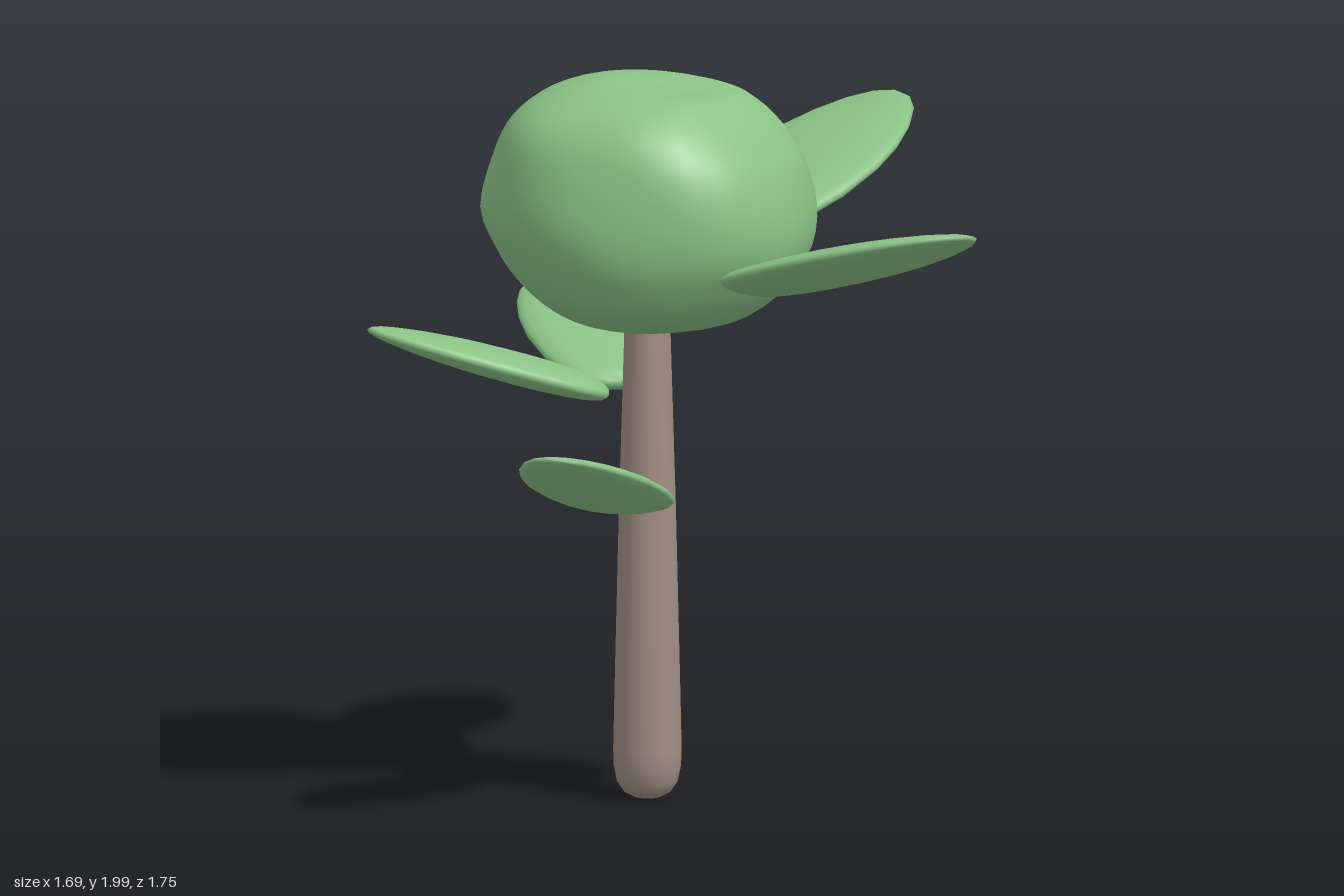
import * as THREE from 'three';
import { mergeVertices } from 'three/addons/utils/BufferGeometryUtils.js';

const foliage = new THREE.MeshStandardMaterial({ color: 0x8ac285 });
foliage.name = 'leaf green';
const bark = new THREE.MeshStandardMaterial({ color: 0xa08d83 });
bark.name = 'bark brown';

function addMesh(group, name, geometry, material) {
  const mesh = new THREE.Mesh(geometry, material);
  mesh.name = name;
  group.add(mesh);
  return mesh;
}

// Drop duplicate seam vertices so the surface shades smoothly all round
function smooth(geometry) {
  geometry.deleteAttribute('uv');
  geometry.deleteAttribute('normal');
  const merged = mergeVertices(geometry, 1e-5);
  merged.computeVertexNormals();
  return merged;
}

// Tapered trunk with a rounded foot
function trunkGeometry() {
  const profile = [
    [0, 0.002], [0.035, 0.007], [0.064, 0.022], [0.083, 0.05], [0.092, 0.095],
    [0.0935, 0.14], [0.09, 0.3], [0.078, 0.8], [0.063, 1.3], [0.057, 1.36], [0.035, 1.39], [0, 1.4],
  ].map(([r, y]) => new THREE.Vector2(r, y));
  return new THREE.LatheGeometry(profile, 24);
}

// Lumpy crown: each level gives height, x extent and z extent
function crownGeometry() {
  const levels = [
    [2.0, -0.25, -0.25, 0.06, 0.06],
    [1.995, -0.36, -0.14, -0.03, 0.16],
    [1.97, -0.47, 0.0, -0.13, 0.31],
    [1.925, -0.55, 0.06, -0.225, 0.42],
    [1.86, -0.61, 0.125, -0.28, 0.485],
    [1.765, -0.65, 0.19, -0.315, 0.52],
    [1.635, -0.68, 0.225, -0.347, 0.54],
    [1.53, -0.63, 0.22, -0.33, 0.528],
    [1.45, -0.565, 0.175, -0.285, 0.495],
    [1.39, -0.495, 0.125, -0.235, 0.45],
    [1.335, -0.42, 0.035, -0.13, 0.34],
    [1.3, -0.35, -0.12, -0.03, 0.19],
    [1.288, -0.25, -0.25, 0.08, 0.08],
  ];
  const curve = (a, b) => new THREE.CatmullRomCurve3(
    levels.map((l) => new THREE.Vector3(l[a], l[0], l[b])), false, 'catmullrom', 0.5);
  const xCurve = curve(1, 2);
  const zCurve = curve(3, 4);
  const around = 40, rows = 36;
  const geometry = new THREE.SphereGeometry(1, around, rows);
  const pos = geometry.attributes.position;
  for (let j = 0; j <= rows; j++) {
    const px = xCurve.getPoint(j / rows);
    const pz = zCurve.getPoint(j / rows);
    for (let i = 0; i <= around; i++) {
      const a = ((i % around) / around) * Math.PI * 2;
      const c = -Math.cos(a), s = Math.sin(a);
      // Fuller corners on +x; the front +x corner leans out at the top and in below
      const diagonal = Math.sin(2 * a) ** 2;
      const lean = Math.max(0, c + s) * 0.09 * (px.y - 1.7);
      const k = 1 + diagonal * (0.025 + 0.035 * c + lean) + 0.01 * Math.sin(5 * a + 8 * px.y);
      const x = (px.x + px.z) / 2 + c * k * (px.z - px.x) / 2;
      const z = (pz.x + pz.z) / 2 + s * k * (pz.z - pz.x) / 2;
      // Shallow dimple in the top
      const d2 = (x + 0.12) ** 2 + (z - 0.08) ** 2;
      const dimple = px.y > 1.8 ? 0.03 * Math.exp(-d2 / 0.015) : 0;
      pos.setXYZ(j * (around + 1) + i, x, px.y - dimple, z);
    }
  }
  return smooth(geometry);
}

// Lens-shaped leaf along +x, blunt and broad at the base, narrower at the tip
function leafGeometry(length, width, thickness) {
  const geometry = new THREE.SphereGeometry(1, 20, 14);
  const pos = geometry.attributes.position;
  for (let i = 0; i < pos.count; i++) {
    const u = pos.getX(i);
    const blunt = u < 0 ? u * (1 + 0.4 * (1 - u * u)) : u;
    const taper = 1 - 0.18 * u;
    pos.setXYZ(i, blunt * length, pos.getY(i) * thickness * taper, pos.getZ(i) * width * taper);
  }
  return smooth(geometry);
}

// Place a leaf by its centre, half-length direction, half width and sideways roll
function addLeaf(group, { name, centre, half, width, roll, thickness }) {
  const along = new THREE.Vector3(...half);
  const leaf = addMesh(group, name, leafGeometry(along.length(), width, thickness), foliage);
  const x = along.clone().normalize();
  const z = new THREE.Vector3().crossVectors(x, new THREE.Vector3(0, 1, 0)).normalize();
  const y = new THREE.Vector3().crossVectors(z, x);
  leaf.quaternion.setFromRotationMatrix(new THREE.Matrix4().makeBasis(x, y, z));
  leaf.rotateX(roll);
  leaf.position.set(...centre);
}

export function createModel() {
  const model = new THREE.Group();
  model.name = 'tree';

  const trunk = addMesh(model, 'trunk', trunkGeometry(), bark);
  trunk.position.set(-0.22, 0, 0.097);
  addMesh(model, 'crown', crownGeometry(), foliage);

  const leaves = [
    { name: 'leftLeaf', centre: [0.465, 1.547, 0.185], half: [0.385, 0.11, 0.06], width: 0.242, roll: -0.15, thickness: 0.043 },
    { name: 'backLeaf', centre: [-0.05, 1.695, -0.545], half: [0.085, 0.142, -0.33], width: 0.242, roll: 0, thickness: 0.043 },
    { name: 'rightBackLeaf', centre: [-0.572, 1.223, -0.205], half: [-0.255, 0.095, -0.22], width: 0.172, roll: 0, thickness: 0.042 },
    { name: 'rightFrontLeaf', centre: [-0.55, 1.233, 0.415], half: [-0.245, 0.1, 0.23], width: 0.172, roll: 0, thickness: 0.042 },
    { name: 'lowerFrontLeaf', centre: [-0.155, 0.945, 0.56], half: [0.035, 0.115, 0.32], width: 0.178, roll: 0.07, thickness: 0.038 },
  ];
  leaves.forEach((leaf) => addLeaf(model, leaf));
  return model;
}
